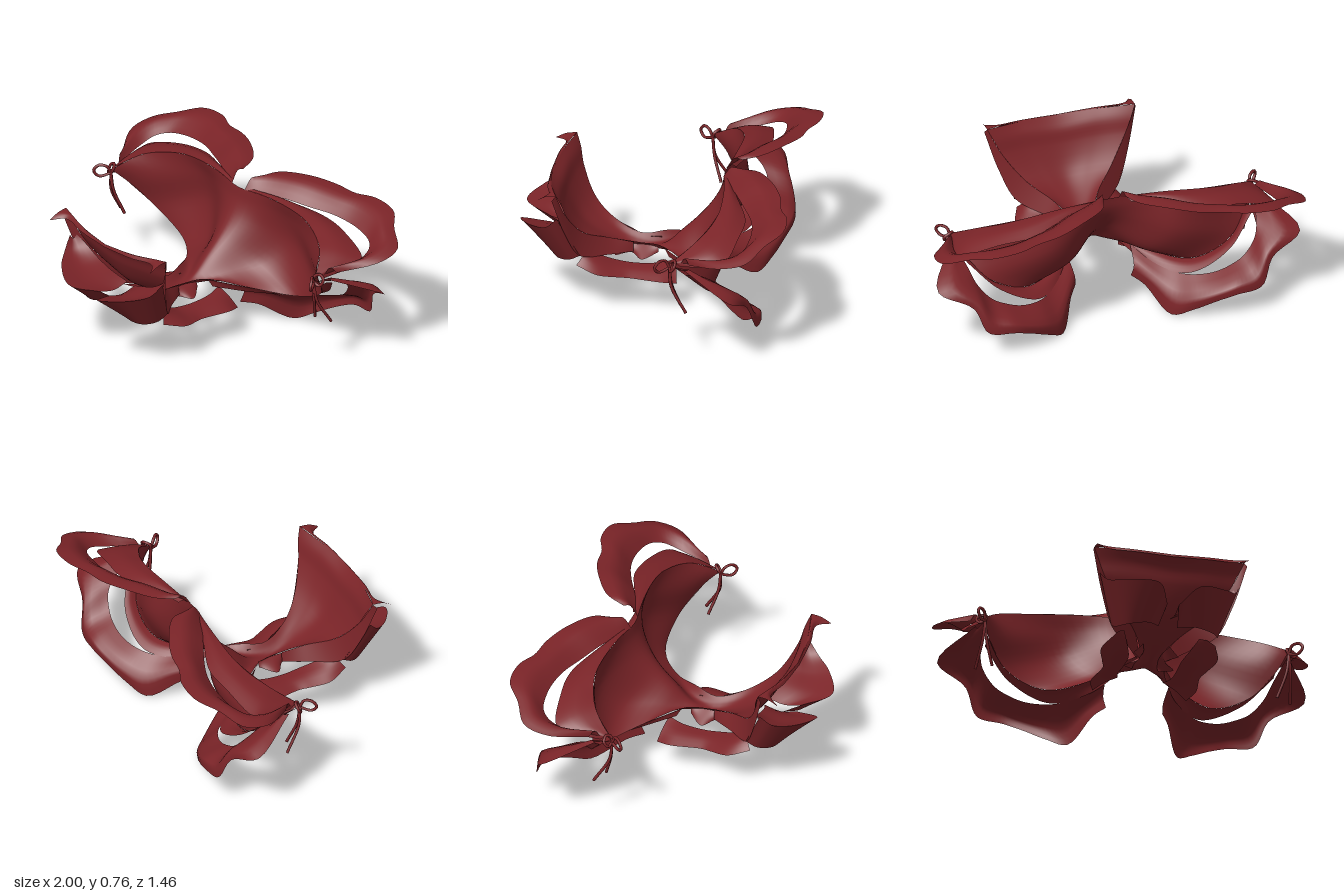
import * as THREE from 'three';

const cloth = new THREE.MeshStandardMaterial({ color: 0x7b2428, side: THREE.DoubleSide });
cloth.name = 'dark red cloth';

const curve = (pts) => new THREE.CatmullRomCurve3(pts.map((p) => new THREE.Vector3(...p)), false, 'centripetal');
const flip = (pts, s) => pts.map(([x, y, z]) => [x * s, y, z]);

// Smooth surface lofted through rows of control points
function loft(name, rows, nu, nv) {
  const sections = rows.map((r) => curve(r).getPoints(nu));
  const pos = [], index = [];
  for (let i = 0; i <= nu; i++) {
    const across = new THREE.CatmullRomCurve3(sections.map((s) => s[i]), false, 'centripetal');
    for (let j = 0; j <= nv; j++) {
      const p = across.getPoint(j / nv);
      pos.push(p.x, p.y, p.z);
      if (i < nu && j < nv) {
        const a = i * (nv + 1) + j, b = a + nv + 1;
        index.push(a, b, a + 1, b, b + 1, a + 1);
      }
    }
  }
  const g = new THREE.BufferGeometry();
  g.setAttribute('position', new THREE.Float32BufferAttribute(pos, 3));
  g.setIndex(index);
  g.computeVertexNormals();
  const m = new THREE.Mesh(g, cloth);
  m.name = name;
  return m;
}

// Frill between two edges, its middle line moved by foldY and foldZ
function frill(name, inner, outer, [foldY, foldZ], s) {
  const mid = inner.map(([x, y, z], i) => {
    const [ox, oy, oz] = outer[i];
    return [(x + ox) / 2, (y + oy) / 2 + foldY, (z + oz) / 2 + foldZ];
  });
  return loft(name, [inner, mid, outer].map((r) => flip(r, s)), 44, 6);
}

function cord(name, pts, s) {
  const m = new THREE.Mesh(new THREE.TubeGeometry(curve(flip(pts, s)), 24, 0.008, 6), cloth);
  m.name = name;
  return m;
}

export function createModel() {
  const model = new THREE.Group();

  // Body: half sections from centre to edge, front waist to back waist
  const halves = [
    [[0, 0.66, 0.58], [0.2, 0.675, 0.56], [0.4, 0.695, 0.51]],
    [[0, 0.61, 0.53], [0.19, 0.625, 0.52], [0.37, 0.63, 0.485]],
    [[0, 0.53, 0.5], [0.17, 0.54, 0.49], [0.33, 0.55, 0.465]],
    [[0, 0.4, 0.42], [0.11, 0.41, 0.41], [0.23, 0.42, 0.39]],
    [[0, 0.31, 0.27], [0.06, 0.32, 0.27], [0.12, 0.35, 0.27]],
    [[0, 0.26, 0.12], [0.03, 0.275, 0.12], [0.06, 0.305, 0.12]],
    [[0, 0.28, 0.0], [0.05, 0.27, 0.0], [0.1, 0.31, 0.0]],
    [[0, 0.37, -0.1], [0.12, 0.3, -0.13], [0.24, 0.26, -0.17]],
    [[0, 0.46, -0.19], [0.22, 0.34, -0.3], [0.45, 0.245, -0.31]],
    [[0, 0.55, -0.26], [0.33, 0.47, -0.39], [0.65, 0.33, -0.31]],
    [[0, 0.63, -0.3], [0.38, 0.6, -0.38], [0.77, 0.46, -0.22]],
    [[0, 0.7, -0.315], [0.2, 0.71, -0.34], [0.48, 0.69, -0.35], [0.7, 0.63, -0.27], [0.81, 0.54, -0.14]],
  ];
  const rows = halves.map((h) => [...flip(h.slice(1), -1).reverse(), ...h]);
  model.add(loft('body', rows, 40, 50));

  for (const s of [1, -1]) {
    const side = s > 0 ? 'left' : 'right';
    const add = (part, inner, outer, fold) => model.add(frill(side + part, inner, outer, fold, s));

    // Back waist: short under frill and wide upper ruffle
    add('WaistUnderFrill',
      [[0.06, 0.7, -0.32], [0.25, 0.71, -0.345], [0.48, 0.69, -0.35], [0.6, 0.66, -0.32],
        [0.7, 0.63, -0.27], [0.77, 0.58, -0.2], [0.81, 0.54, -0.14]],
      [[0.1, 0.69, -0.36], [0.28, 0.69, -0.42], [0.48, 0.66, -0.49], [0.65, 0.64, -0.48],
        [0.85, 0.58, -0.43], [0.86, 0.56, -0.36], [0.82, 0.53, -0.2]], [0.015, 0]);
    add('WaistRuffle',
      [[0.05, 0.7, -0.315], [0.13, 0.7, -0.35], [0.26, 0.7, -0.41], [0.38, 0.68, -0.47], [0.5, 0.67, -0.52],
        [0.6, 0.66, -0.54], [0.7, 0.65, -0.54], [0.8, 0.63, -0.52], [0.85, 0.61, -0.47], [0.86, 0.58, -0.38],
        [0.82, 0.55, -0.2]],
      [[0.06, 0.75, -0.4], [0.1, 0.765, -0.5], [0.24, 0.765, -0.6], [0.38, 0.75, -0.66], [0.5, 0.74, -0.68],
        [0.61, 0.74, -0.725], [0.76, 0.725, -0.72], [0.86, 0.69, -0.64], [0.98, 0.64, -0.56], [0.99, 0.61, -0.43],
        [0.86, 0.56, -0.25]], [0.035, 0]);

    // Rear leg ruffle, folded lengthwise below the seat and rising to the tie
    add('RearLegRuffle',
      [[0.17, 0.27, -0.12], [0.25, 0.22, -0.24], [0.34, 0.2, -0.34], [0.42, 0.21, -0.41], [0.52, 0.23, -0.45],
        [0.6, 0.26, -0.46], [0.68, 0.3, -0.45], [0.75, 0.38, -0.42], [0.78, 0.45, -0.35], [0.81, 0.52, -0.15]],
      [[0.15, 0.13, -0.2], [0.2, 0.11, -0.28], [0.29, 0.01, -0.44], [0.39, 0.06, -0.51], [0.5, 0.12, -0.56],
        [0.6, 0.16, -0.59], [0.74, 0.18, -0.58], [0.81, 0.32, -0.54], [0.98, 0.41, -0.47], [0.84, 0.52, -0.22]], [0, -0.06]);
    add('SeatEdgeFrill',
      [[0.1, 0.31, 0], [0.24, 0.26, -0.17], [0.45, 0.245, -0.31], [0.65, 0.33, -0.31], [0.77, 0.46, -0.22]],
      [[0.12, 0.26, -0.04], [0.23, 0.21, -0.22], [0.41, 0.21, -0.39], [0.62, 0.31, -0.39], [0.77, 0.45, -0.3]], [0.01, 0]);

    // Front leg ruffle beside the narrow strip
    add('FrontLegRuffle',
      [[0.12, 0.25, -0.08], [0.14, 0.235, 0], [0.14, 0.225, 0.12], [0.14, 0.235, 0.22], [0.17, 0.27, 0.3],
        [0.2, 0.31, 0.36]],
      [[0.25, 0.17, -0.1], [0.28, 0.185, -0.02], [0.26, 0.19, 0.15], [0.28, 0.2, 0.21], [0.31, 0.22, 0.31],
        [0.27, 0.25, 0.42]], [0.01, 0]);

    // Hem hanging from the front panel's side edge
    add('FrontHem',
      [[0.4, 0.695, 0.51], [0.33, 0.55, 0.465], [0.23, 0.42, 0.39], [0.12, 0.35, 0.27], [0.07, 0.31, 0.15]],
      [[0.41, 0.67, 0.53], [0.35, 0.46, 0.47], [0.28, 0.31, 0.4], [0.16, 0.27, 0.27], [0.08, 0.26, 0.15]], [0, 0]);

    // Folded ruffle under the front panel: upper flap and lower return
    const tip = [[0.37, 0.55, 0.51], [0.34, 0.49, 0.57], [0.26, 0.46, 0.66], [0.11, 0.43, 0.73], [0.03, 0.38, 0.59]];
    add('FrontFlapTop',
      [[0.35, 0.55, 0.48], [0.3, 0.51, 0.46], [0.22, 0.46, 0.45], [0.12, 0.42, 0.44], [0.03, 0.38, 0.41]], tip, [-0.02, 0]);
    add('FrontFlapUnderside', tip,
      [[0.28, 0.31, 0.4], [0.27, 0.28, 0.46], [0.22, 0.27, 0.53], [0.13, 0.28, 0.55], [0.05, 0.3, 0.48]], [0, 0]);
    add('CrotchFrill',
      [[0.06, 0.29, 0.02], [0.05, 0.29, 0.1], [0.05, 0.29, 0.18], [0.07, 0.3, 0.25]],
      [[0.07, 0.26, 0.02], [0.13, 0.24, 0.1], [0.07, 0.25, 0.16], [0.12, 0.25, 0.24]], [0, 0]);

    // Front waist trim with a pointed corner
    add('FrontWaistTrim',
      [[0, 0.66, 0.58], [0.2, 0.675, 0.56], [0.33, 0.69, 0.53], [0.4, 0.695, 0.51]],
      [[0, 0.65, 0.59], [0.2, 0.66, 0.58], [0.34, 0.67, 0.56], [0.4, 0.66, 0.62]], [0.01, 0]);

    // Side tie: two loops and two hanging ends
    const knot = [0.81, 0.52, -0.14];
    model.add(cord(side + 'FrontLoop', [knot, [0.82, 0.56, -0.12], [0.85, 0.565, -0.09], [0.865, 0.535, -0.07],
      [0.845, 0.505, -0.09], knot], s));
    model.add(cord(side + 'RearLoop', [knot, [0.8, 0.55, -0.15], [0.82, 0.56, -0.17], [0.85, 0.54, -0.17],
      [0.84, 0.51, -0.15], knot], s));
    model.add(cord(side + 'OuterTieEnd', [knot, [0.82, 0.42, -0.15], [0.84, 0.28, -0.23]], s));
    model.add(cord(side + 'InnerTieEnd', [knot, [0.8, 0.42, -0.15], [0.76, 0.29, -0.19]], s));
  }
  return model;
}
